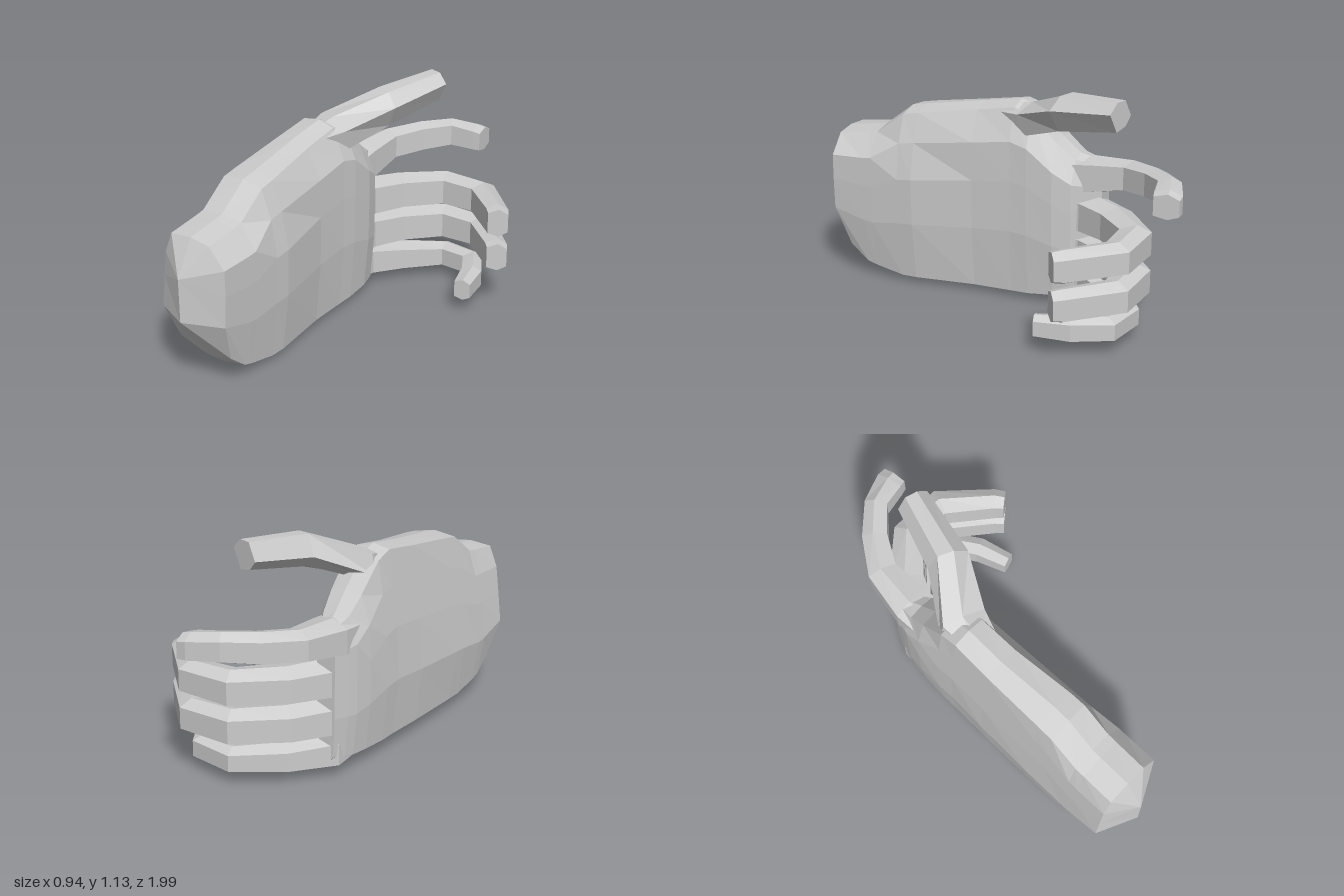
import * as THREE from 'three';

const material = new THREE.MeshStandardMaterial({ color: 0xcccccc, flatShading: true });

// Skin closed rings of equal length into a capped solid, wound outward.
function loft(name, rings) {
  const n = rings[0].length;
  const pts = rings.flat();
  const tris = [];
  for (let r = 0; r < rings.length - 1; r++) {
    for (let i = 0; i < n; i++) {
      const a = r * n + i, b = r * n + (i + 1) % n;
      tris.push([a, b, b + n], [a, b + n, a + n]);
    }
  }
  const last = (rings.length - 1) * n;
  for (let i = 1; i < n - 1; i++) {
    tris.push([0, i + 1, i], [last, last + i, last + i + 1]);
  }
  // Signed volume tells which way the rings turn
  let volume = 0;
  for (const [a, b, c] of tris) volume += pts[a].dot(pts[b].clone().cross(pts[c]));
  if (volume < 0) tris.forEach((t) => t.reverse());

  const geometry = new THREE.BufferGeometry().setFromPoints(pts);
  geometry.setIndex(tris.flat());
  const flat = geometry.toNonIndexed();
  flat.computeVertexNormals();
  const mesh = new THREE.Mesh(flat, material);
  mesh.name = name;
  return mesh;
}

// Palm outline as fractions: across (back to palm side) and up
const palmShape = [
  [0.5, 1], [0.78, 0.975], [1, 0.82], [1, 0.62], [0.98, 0.36], [0.88, 0.035],
  [0.5, 0], [0.09, 0.075], [0, 0.36], [0, 0.62], [0, 0.82], [0.2, 0.985],
];

// The hand narrows upward; the underside of a ring can be set back in z
function palmRing([z, bottom, top, back, front, setBack = 0]) {
  return palmShape.map(([u, v]) => {
    const y = THREE.MathUtils.lerp(bottom, top, v);
    const x = THREE.MathUtils.clamp(
      THREE.MathUtils.lerp(back, front, u),
      -0.47 + Math.max(0, y - 0.37) * 0.13,
      -0.09 - Math.max(0, y - 0.65) * 0.36);
    return new THREE.Vector3(x, y, v < 0.1 ? z - setBack : z);
  });
}

// Finger outline: thickness (outer side positive) and height, in half sizes
const fingerShape = [[1, 0.6], [0.1, 1], [-1, 0.75], [-1, -0.75], [0.1, -1], [1, -0.7]];

// Each joint is [x, y, z, thickness, height, roll]
function finger(name, joints) {
  const centres = joints.map(([x, y, z]) => new THREE.Vector3(x, y, z));
  const up = new THREE.Vector3(0, 1, 0);
  const rings = joints.map(([, , , thick, high, roll = 0], i) => {
    const before = centres[Math.max(i - 1, 0)];
    const after = centres[Math.min(i + 1, centres.length - 1)];
    const dirIn = centres[i].clone().sub(before).setY(0).normalize();
    const dirOut = after.clone().sub(centres[i]).setY(0).normalize();
    const along = dirIn.add(dirOut).normalize();
    const side = new THREE.Vector3().crossVectors(up, along).applyAxisAngle(along, roll);
    const rise = up.clone().applyAxisAngle(along, roll);
    return fingerShape.map(([s, t]) => centres[i].clone()
      .addScaledVector(side, s * thick / 2)
      .addScaledVector(rise, t * high / 2));
  });
  return loft(name, rings);
}

export function createModel() {
  const hand = new THREE.Group();
  hand.name = 'hand';

  // Wrist end closes on a short upright ridge
  const ridge = palmShape.map(([, v]) => new THREE.Vector3(-0.28, v < 0.5 ? 0.365 : 0.58, 1));

  // Palm: z, bottom, top, back x, palm x, set-back of the underside
  hand.add(loft('palm', [ridge, ...[
    [0.905, 0.13, 0.75, -0.47, -0.09, 0.07],
    [0.74, 0.05, 0.775, -0.47, -0.09],
    [0.69, 0.035, 0.785, -0.47, -0.09],
    [0.54, 0, 0.9, -0.47, -0.09],
    [0.46, 0, 0.915, -0.47, -0.09],
    [0.15, 0, 0.965, -0.46, -0.14],
    [-0.05, 0, 1, -0.45, -0.15],
    [-0.14, 0.003, 0.97, -0.45, -0.15],
    [-0.27, 0.02, 0.84, -0.44, -0.16],
    [-0.36, 0.03, 0.765, -0.425, -0.19],
    [-0.41, 0.04, 0.75, -0.41, -0.23],
    [-0.48, 0.06, 0.73, -0.385, -0.29],
  ].map(palmRing)]));

  // Thumb, growing out of the top of the palm and rolling across it
  hand.add(finger('thumb', [
    [-0.29, 0.89, 0.06, 0.13, 0.14, 0],
    [-0.275, 0.92, -0.12, 0.21, 0.155, 0.2],
    [-0.125, 1.02, -0.35, 0.16, 0.165, 0.5],
    [-0.035, 1.06, -0.66, 0.12, 0.14, 0.5],
  ]));

  // Index finger, the straightest
  hand.add(finger('indexFinger', [
    [-0.31, 0.65, -0.2, 0.19, 0.15],
    [-0.32, 0.665, -0.42, 0.185, 0.18],
    [-0.3, 0.69, -0.63, 0.14, 0.15],
    [-0.2, 0.705, -0.78, 0.12, 0.15],
    [-0.08, 0.72, -0.89, 0.11, 0.14],
    [0.05, 0.71, -0.93, 0.13, 0.13],
    [0.09, 0.705, -0.935, 0.12, 0.12],
  ]));

  // Middle and ring fingers share one curl
  const curl = [
    [-0.31, -0.2, 0.19, 0.185],
    [-0.3, -0.42, 0.19, 0.187],
    [-0.2, -0.59, 0.17, 0.175],
    [-0.02, -0.755, 0.15, 0.17],
    [0.2, -0.755, 0.14, 0.16],
    [0.4, -0.57, 0.11, 0.16],
    [0.43, -0.53, 0.1, 0.145],
  ];
  for (const [name, y] of [['middleFinger', 0.47], ['ringFinger', 0.283]]) {
    hand.add(finger(name, curl.map(([x, z, thick, high]) => [x, y, z, thick, high])));
  }

  // Little finger, shorter and more curled
  hand.add(finger('littleFinger', [
    [-0.31, 0.14, -0.2, 0.17, 0.14],
    [-0.305, 0.12, -0.42, 0.18, 0.16],
    [-0.18, 0.11, -0.58, 0.15, 0.14],
    [0, 0.107, -0.73, 0.12, 0.12],
    [0.18, 0.11, -0.71, 0.11, 0.12],
    [0.27, 0.115, -0.56, 0.1, 0.125],
    [0.315, 0.12, -0.4, 0.08, 0.11],
  ]));

  return hand;
}
